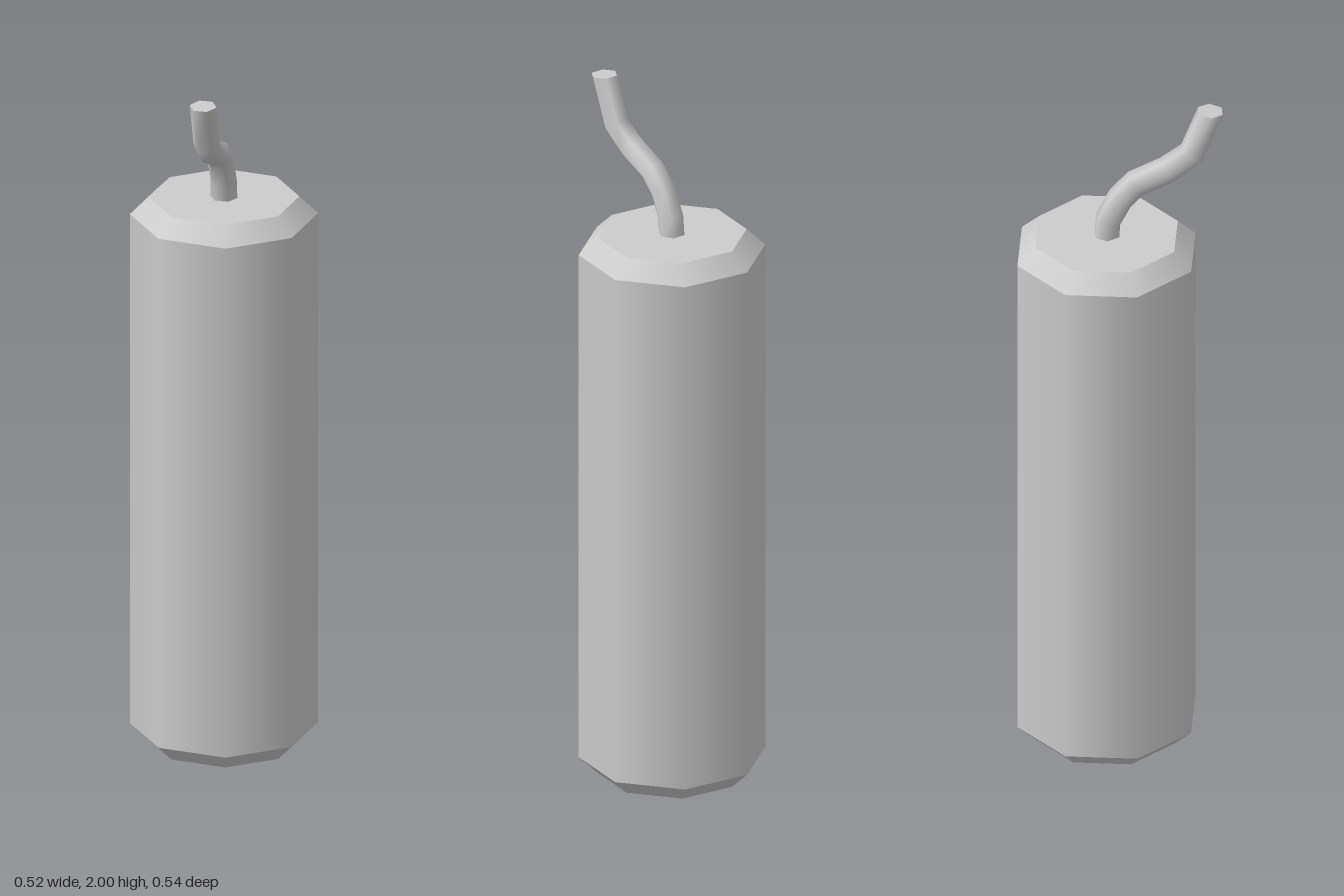
import * as THREE from 'three';

const SIDES = 8, BODY_Z = -0.012;

// Fuse centre line, from the lid up to the tip
const fusePath = [
  [0, 1.6, -0.012], [0.003, 1.665, -0.008], [0.02, 1.73, 0.02], [0.043, 1.775, 0.055],
  [0.09, 1.815, 0.13], [0.127, 1.865, 0.188], [0.155, 1.998, 0.231],
].map((p) => new THREE.Vector3(...p));

// Six-sided rings, each tilted to follow the path
function fuseRings(radius) {
  const up = new THREE.Vector3(0, 1, 0);
  const last = fusePath.length - 1;
  return fusePath.map((p, i) => {
    const before = fusePath[Math.max(i - 1, 0)].clone();
    const tangent = fusePath[Math.min(i + 1, last)].clone().sub(before).normalize();
    if (i === last) tangent.lerp(up, 0.8).normalize(); // tip is cut almost level
    if (i === 0) tangent.copy(up);
    const q = new THREE.Quaternion().setFromUnitVectors(up, tangent);
    return Array.from({ length: 6 }, (_, k) => {
      const a = (k / 6) * Math.PI * 2;
      return new THREE.Vector3(Math.sin(a) * radius, 0, Math.cos(a) * radius).applyQuaternion(q).add(p);
    });
  });
}

function geometryFrom(points, index) {
  const g = new THREE.BufferGeometry().setFromPoints(points);
  g.setIndex(index);
  g.computeVertexNormals();
  return g;
}

export function createModel() {
  const model = new THREE.Group();
  model.name = 'firecracker';
  const grey = new THREE.MeshStandardMaterial({ color: 0xcccccc });
  grey.name = 'plain grey';

  const add = (name, geometry) => {
    const mesh = new THREE.Mesh(geometry, grey);
    mesh.name = name;
    model.add(mesh);
    return mesh;
  };

  // Open octagonal bands: lower bevel, tube and upper bevel
  const band = (name, rTop, rBottom, y0, y1) =>
    add(name, new THREE.CylinderGeometry(rTop, rBottom, y1 - y0, SIDES, 1, true))
      .position.set(0, (y0 + y1) / 2, BODY_Z);
  band('lowerBevel', 0.26, 0.208, 0, 0.05);
  band('tube', 0.26, 0.26, 0.05, 1.565);
  band('upperBevel', 0.208, 0.26, 1.565, 1.615);

  // Flat ends
  const disc = (name, y, turn) => {
    const mesh = add(name, new THREE.CircleGeometry(0.208, SIDES));
    mesh.rotation.x = turn;
    mesh.position.set(0, y, BODY_Z);
  };
  disc('lid', 1.615, -Math.PI / 2);
  disc('base', 0, Math.PI / 2);

  // Bent fuse
  const rings = fuseRings(0.038);
  const index = [];
  for (let i = 0; i < rings.length - 1; i++) {
    for (let k = 0; k < 6; k++) {
      const a = i * 6 + k, b = i * 6 + ((k + 1) % 6);
      index.push(a, b, b + 6, a, b + 6, a + 6);
    }
  }
  add('fuse', geometryFrom(rings.flat(), index));
  add('fuseTip', geometryFrom(rings[rings.length - 1], [0, 1, 2, 0, 2, 3, 0, 3, 4, 0, 4, 5]));

  return model;
}
